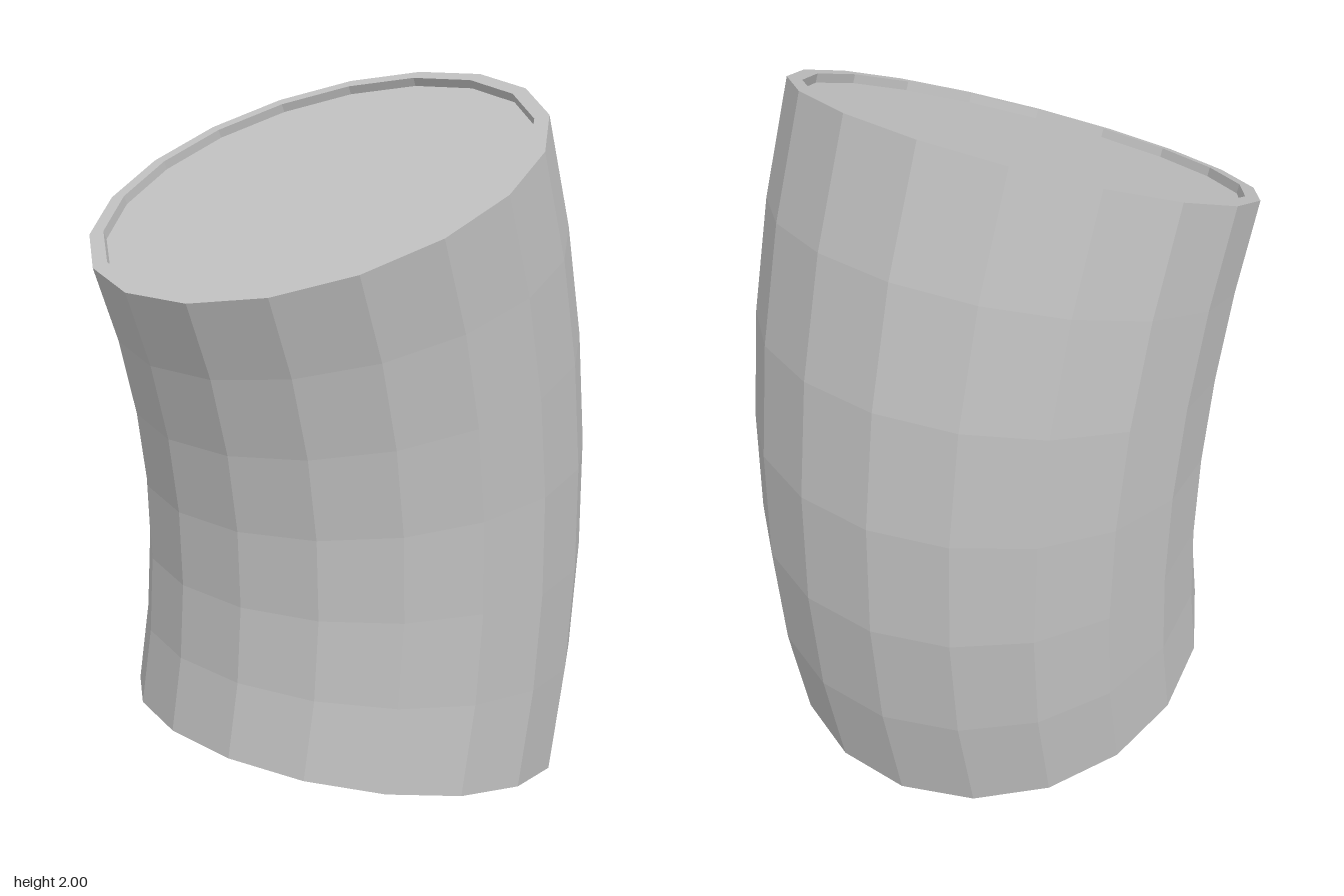
import * as THREE from 'three';

const SIDES = 18, SEGMENTS = 6;
const OUTER = 0.63, INNER = 0.59, RECESS = 0.025;
const BEND_RADIUS = 2.7;
const START = THREE.MathUtils.degToRad(-13.3), END = THREE.MathUtils.degToRad(21.7);
const PHASE = THREE.MathUtils.degToRad(5.75);
const BASE = new THREE.Vector3(0.003, 0.145, -0.008);
const UP = new THREE.Vector3(0, 1, 0);
const BEND = new THREE.Vector3(-0.9, 0, 0.436).normalize(); // direction the pipe leans
const ACROSS = new THREE.Vector3().crossVectors(BEND, UP).negate();
ACROSS.crossVectors(UP, BEND).negate();

// Ring of points around the bent axis; shift moves it along the axis
function ring(theta, radius, shift = 0) {
  const s = Math.sin(theta), c = Math.cos(theta);
  const centre = BASE.clone()
    .addScaledVector(UP, BEND_RADIUS * (s - Math.sin(START)) + shift * c)
    .addScaledVector(BEND, BEND_RADIUS * (Math.cos(START) - c) + shift * s);
  const side = BEND.clone().multiplyScalar(c).addScaledVector(UP, -s);
  return Array.from({ length: SIDES }, (_, j) => {
    const a = PHASE + (j / SIDES) * Math.PI * 2;
    return centre.clone()
      .addScaledVector(side, radius * Math.cos(a))
      .addScaledVector(ACROSS, radius * Math.sin(a));
  });
}

// Skin consecutive rings, leaving out triangles collapsed at a centre point
function skin(rings) {
  const points = [];
  const tri = (a, b, c) => {
    if (a.distanceTo(b) > 1e-6 && b.distanceTo(c) > 1e-6 && c.distanceTo(a) > 1e-6) points.push(a, b, c);
  };
  for (let i = 0; i < rings.length - 1; i++) {
    for (let j = 0; j < SIDES; j++) {
      const k = (j + 1) % SIDES;
      tri(rings[i][j], rings[i + 1][j], rings[i + 1][k]);
      tri(rings[i][j], rings[i + 1][k], rings[i][k]);
    }
  }
  const geometry = new THREE.BufferGeometry().setFromPoints(points);
  geometry.computeVertexNormals();
  return geometry;
}

export function createModel() {
  const group = new THREE.Group();
  group.name = 'bentPipe';
  const grey = new THREE.MeshStandardMaterial({ color: 0xbfbfbf });
  grey.name = 'grey';
  grey.flatShading = true;

  const add = (name, rings) => {
    const mesh = new THREE.Mesh(skin(rings), grey);
    mesh.name = name;
    group.add(mesh);
  };

  // Curved outer wall
  const wall = [];
  for (let i = 0; i <= SEGMENTS; i++) {
    wall.push(ring(THREE.MathUtils.lerp(START, END, i / SEGMENTS), OUTER));
  }
  add('outerWall', wall);

  // Flat rims with a short inner lip
  add('bottomRim', [ring(START, INNER, RECESS), ring(START, INNER), ring(START, OUTER)]);
  add('topRim', [ring(END, OUTER), ring(END, INNER), ring(END, INNER, -RECESS)]);

  // Recessed end discs
  add('bottomDisc', [ring(START, 0, RECESS), ring(START, INNER, RECESS)]);
  add('topDisc', [ring(END, INNER, -RECESS), ring(END, 0, -RECESS)]);
  return group;
}
